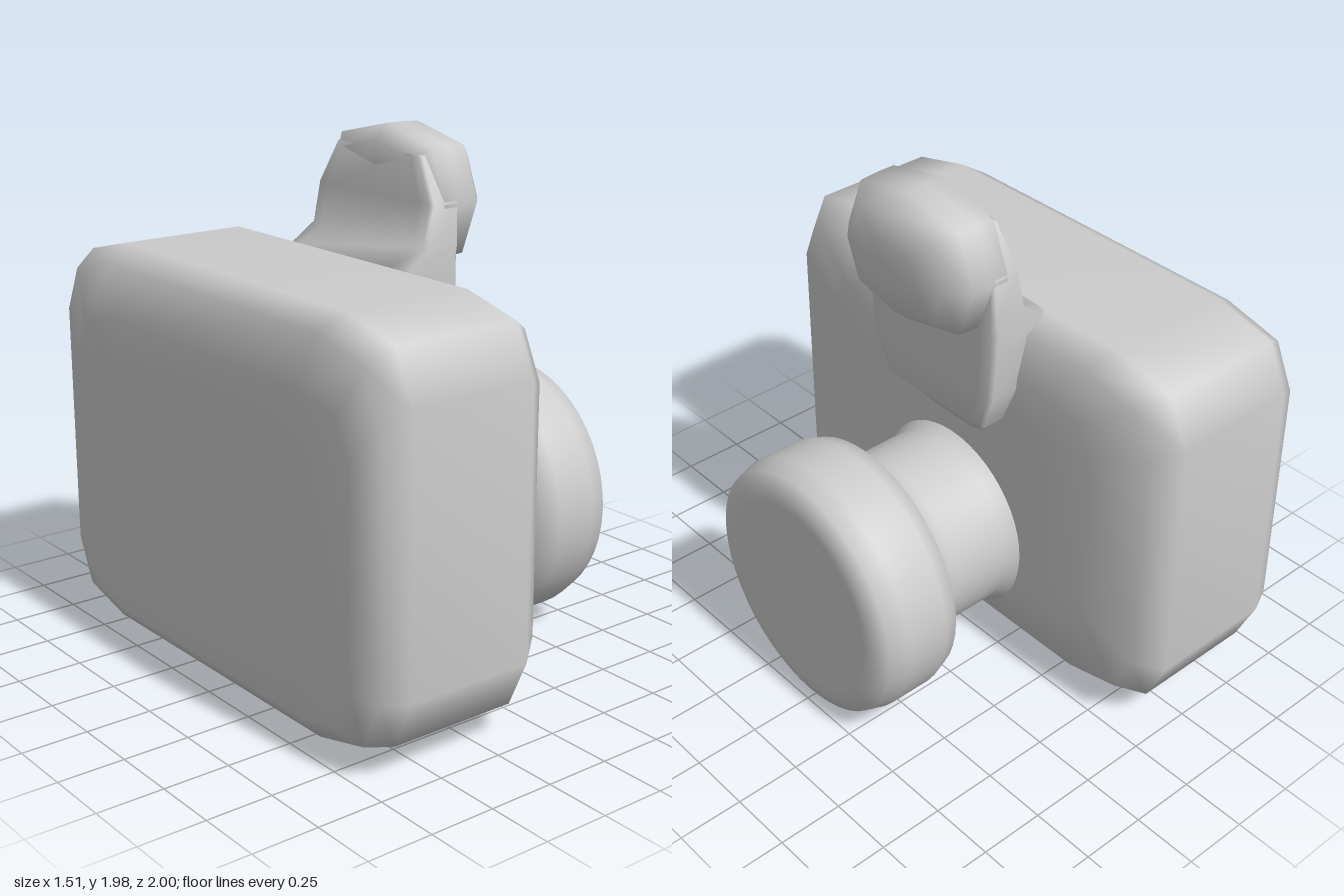
import * as THREE from 'three';

const material = new THREE.MeshStandardMaterial({ color: 0xcccccc });

// Skin a list of closed rings (arrays of [x, y, z]) and close both ends with a fan.
function loft(rings) {
  const n = rings[0].length;
  const pos = [];
  const index = [];
  rings.forEach((ring) => ring.forEach((p) => pos.push(...p)));
  for (let k = 0; k < rings.length - 1; k++) {
    for (let j = 0; j < n; j++) {
      const a = k * n + j;
      const b = k * n + ((j + 1) % n);
      index.push(a, b, b + n, a, b + n, a + n);
    }
  }
  [0, rings.length - 1].forEach((k) => {
    const centre = [0, 1, 2].map((i) => rings[k].reduce((s, p) => s + p[i], 0) / n);
    const c = pos.length / 3;
    pos.push(...centre);
    for (let j = 0; j < n; j++) {
      const a = k * n + j;
      const b = k * n + ((j + 1) % n);
      if (k === 0) index.push(c, b, a);
      else index.push(c, a, b);
    }
  });
  const geometry = new THREE.BufferGeometry();
  geometry.setAttribute('position', new THREE.Float32BufferAttribute(pos, 3));
  geometry.setIndex(index);
  geometry.computeVertexNormals();
  return geometry;
}

// Rectangle with two-step rounded corners, unit half sizes, as [u, v] going round from +u to +v.
function roundedSection(inner, middle) {
  const corner = [[1, inner], [middle, middle], [inner, 1]];
  const flip = (su, sv) => corner.map(([u, v]) => [u * su, v * sv]);
  return [
    ...flip(1, 1), ...flip(-1, 1).reverse(),
    ...flip(-1, -1), ...flip(1, -1).reverse(),
  ];
}

function named(name, geometry) {
  const mesh = new THREE.Mesh(geometry, material);
  mesh.name = name;
  return mesh;
}

// Cushioned body: each row is x, half depth, bottom, top
function body() {
  const section = roundedSection(0.67, 0.917);
  const rows = [
    [-0.755, 0.62, 0.28, 1.14],
    [-0.755, 0.84, 0.13, 1.28],
    [-0.725, 0.955, 0.08, 1.47],
    [-0.63, 1, 0.065, 1.53],
    [-0.13, 1, 0.065, 1.53],
    [-0.03, 0.92, 0.125, 1.47],
    [0, 0.68, 0.3, 1.3],
    [0.005, 0.45, 0.42, 1.15],
  ];
  return loft(rows.map(([x, hz, y0, y1]) => section.map(([u, v]) =>
    [x, (y0 + y1) / 2 + u * (y1 - y0) / 2, v * hz])));
}

// Bracket rising from the body front: each row is y, back x, front x, half width
function bracket() {
  const section = roundedSection(0.8, 0.95);
  const rows = [
    [0.97, -0.06, 0.004, 0.1],
    [1.03, -0.06, 0.05, 0.2],
    [1.1, -0.06, 0.112, 0.26],
    [1.25, -0.06, 0.13, 0.32],
    [1.45, -0.1, 0.13, 0.335],
    [1.53, -0.13, 0.13, 0.335],
    [1.59, -0.03, 0.13, 0.335],
    [1.74, 0, 0.13, 0.33],
    [1.9, 0.02, 0.13, 0.24],
  ];
  return loft(rows.map(([y, x0, x1, hz]) => section.map(([u, v]) =>
    [(x0 + x1) / 2 + v * (x1 - x0) / 2, y, u * hz])));
}

// Eight-sided domed flash: each row is x, scale
function flash() {
  const rows = [
    [0.012, 0.4], [0.018, 0.78], [0.06, 1], [0.13, 1],
    [0.21, 0.985], [0.28, 0.75], [0.3, 0.35],
  ];
  const octagon = [];
  for (let i = 0; i < 8; i++) {
    const a = i * Math.PI / 4;
    const stretch = i % 2 ? 1.09 : 1;
    octagon.push([Math.cos(a) * 0.255 * stretch, Math.sin(a) * 0.333 * stretch]);
  }
  return loft(rows.map(([x, s]) => octagon.map(([y, z]) => [x, 1.73 + y * s, z * s])));
}

// Lens barrel and wide front ring, turned about the x axis: radius, distance forward
function lens() {
  const profile = [
    [0.39, -0.02], [0.375, 0.015], [0.356, 0.05], [0.356, 0.3], [0.375, 0.37],
    [0.42, 0.395], [0.485, 0.415], [0.507, 0.48], [0.507, 0.65], [0.485, 0.725],
    [0.43, 0.75], [0.38, 0.755], [0, 0.755],
  ].map(([r, d]) => new THREE.Vector2(r, d));
  return new THREE.LatheGeometry(profile, 48).rotateZ(-Math.PI / 2).translate(0, 0.512, 0.015);
}

export function createModel() {
  const group = new THREE.Group();
  group.name = 'camera';
  group.add(
    named('body', body()),
    named('flashBracket', bracket()),
    named('flash', flash()),
    named('lens', lens()),
  );
  return group;
}
